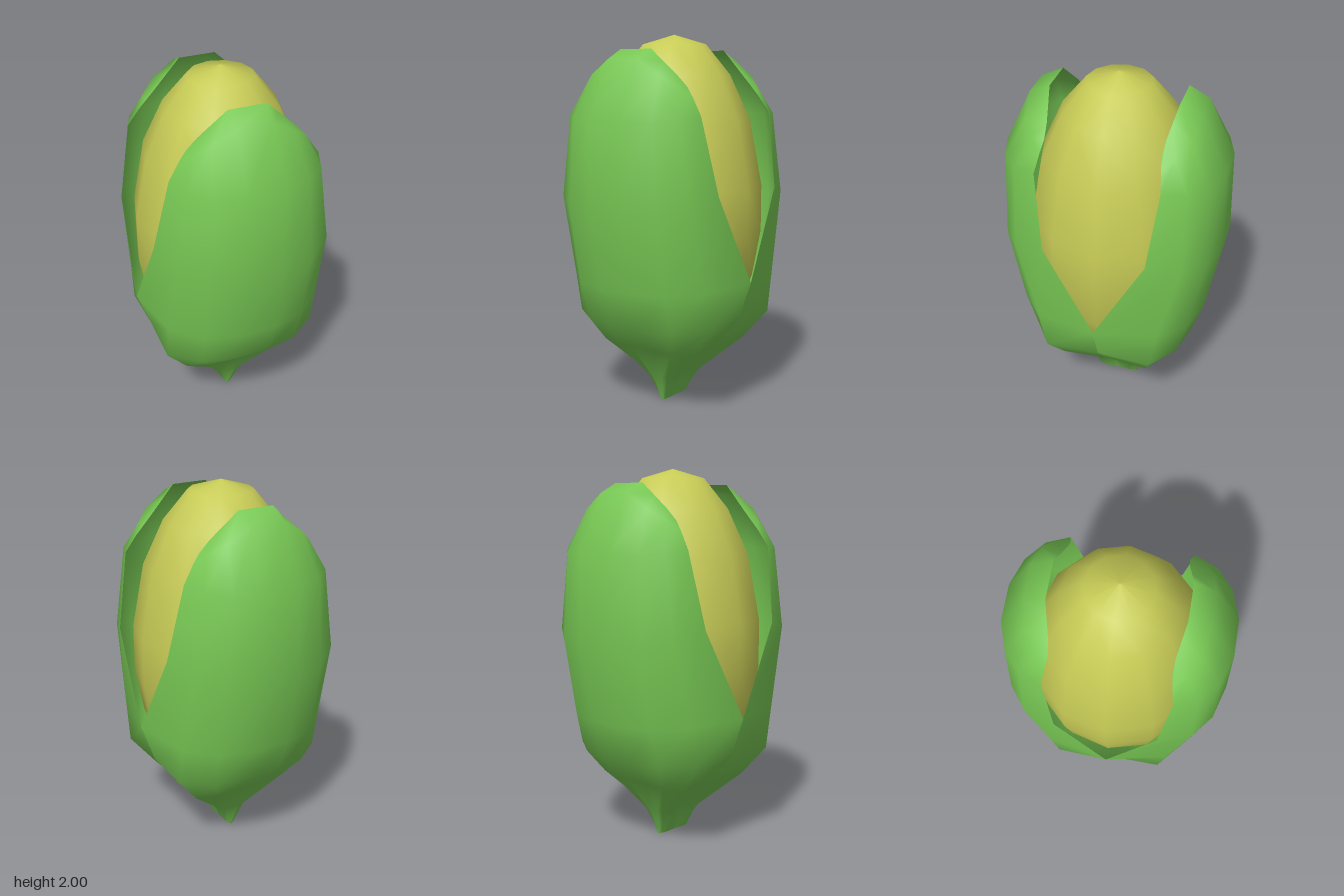
import * as THREE from 'three';

// Half cross-sections of one husk leaf, base to tip: [x, y, z] from the middle out to the edge
const LEAF_ROWS = [
  [[0.005, 0, 0.115], [0.01, 0, 0.1], [0.015, 0, 0.06], [0.01, 0, 0]],
  [[0.03, 0.14, 0.155], [0.06, 0.14, 0.15], [0.1, 0.14, 0.1], [0.07, 0.14, 0]],
  [[0.08, 0.33, 0.28], [0.18, 0.33, 0.28], [0.3, 0.33, 0.24], [0.28, 0.33, 0]],
  [[0.1, 0.48, 0.44], [0.27, 0.48, 0.4], [0.43, 0.49, 0.29], [0.425, 0.5, 0]],
  [[0.1, 0.69, 0.51], [0.28, 0.69, 0.46], [0.43, 0.7, 0.33], [0.5, 0.71, 0]],
  [[0.1, 1.11, 0.59], [0.28, 1.11, 0.54], [0.415, 1.15, 0.44], [0.475, 1.19, 0.27]],
  [[0.1, 1.57, 0.58], [0.25, 1.57, 0.53], [0.355, 1.58, 0.44], [0.4, 1.59, 0.32]],
  [[0.09, 1.87, 0.44], [0.22, 1.79, 0.42], [0.3, 1.73, 0.36], [0.34, 1.68, 0.305]],
  [[0.1, 1.92, 0.33], [0.17, 1.855, 0.315], [0.24, 1.79, 0.3], [0.3, 1.73, 0.295]],
];

// Mirror each half section across x and skin the rows into a sheet
function leafGeometry() {
  const positions = [];
  const index = [];
  const columns = 8;
  LEAF_ROWS.forEach((row, i) => {
    const left = row.map(([x, y, z]) => [-x, y, z]).reverse();
    positions.push(...[...left, ...row].flat());
    if (i === 0) return;
    for (let j = 0; j < columns - 1; j++) {
      const a = (i - 1) * columns + j;
      const d = a + columns;
      index.push(a, a + 1, d + 1, a, d + 1, d);
    }
  });
  const geometry = new THREE.BufferGeometry();
  geometry.setAttribute('position', new THREE.Float32BufferAttribute(positions, 3));
  geometry.setIndex(index);
  geometry.computeVertexNormals();
  return geometry;
}

export function createModel() {
  const model = new THREE.Group();
  model.name = 'huskedNut';

  // Rounded kernel
  const profile = [
    [0, 0.28], [0.15, 0.31], [0.28, 0.42], [0.37, 0.54], [0.43, 0.7], [0.475, 0.95],
    [0.475, 1.2], [0.41, 1.55], [0.3, 1.79], [0.17, 1.95], [0, 2],
  ].map(([r, y]) => new THREE.Vector2(r, y));
  const kernel = new THREE.Mesh(
    new THREE.LatheGeometry(profile, 12),
    new THREE.MeshStandardMaterial({ color: 0xc6ca55 }),
  );
  kernel.name = 'kernel';
  model.add(kernel);

  // Two open husk leaves, front and back
  const geometry = leafGeometry();
  const green = new THREE.MeshStandardMaterial({ color: 0x78c854, side: THREE.DoubleSide });
  ['frontHuskLeaf', 'backHuskLeaf'].forEach((name, i) => {
    const leaf = new THREE.Mesh(geometry, green);
    leaf.name = name;
    leaf.rotation.y = i * Math.PI;
    model.add(leaf);
  });

  return model;
}
